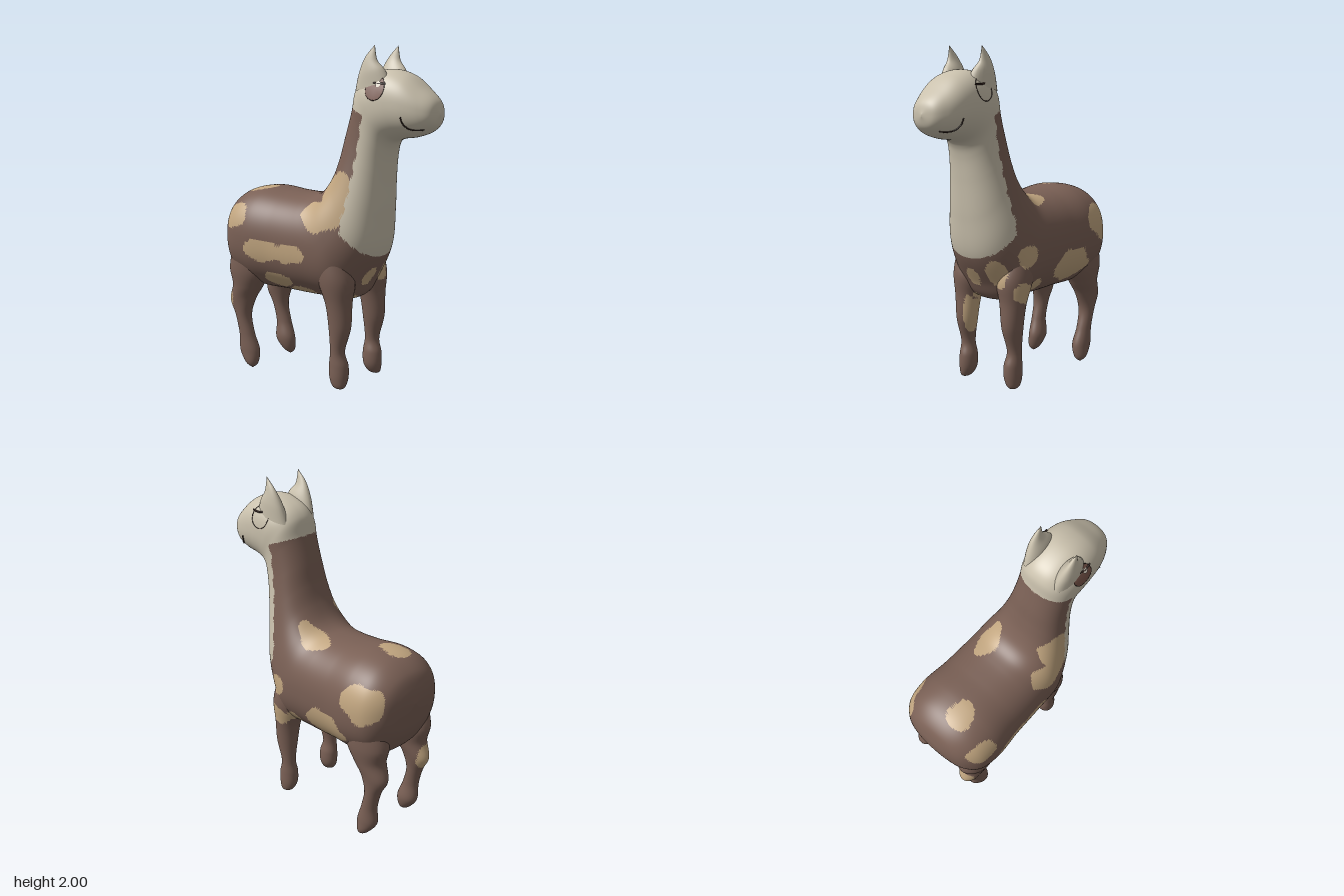
import * as THREE from 'three';

const mat = (name, color, side = THREE.FrontSide) => {
  const m = new THREE.MeshStandardMaterial({ color, side });
  m.name = name;
  return m;
};

// Rings are [topX, topY, bottomX, bottomY, halfWidth, centreZ]; smooth skin through them
function loft(rings, steps, segs, power) {
  const a = new THREE.CatmullRomCurve3(rings.map(r => new THREE.Vector3(r[0], r[1], r[4])));
  const b = new THREE.CatmullRomCurve3(rings.map(r => new THREE.Vector3(r[2], r[3], r[5] || 0)));
  const pos = [], index = [];
  const sq = v => Math.sign(v) * Math.pow(Math.abs(v), 2 / power);
  for (let i = 0; i <= steps; i++) {
    const p = a.getPoint(i / steps), q = b.getPoint(i / steps);
    const w = Math.max(p.z, 0);
    for (let j = 0; j < segs; j++) {
      const ang = (j / segs) * Math.PI * 2;
      const c = sq(Math.cos(ang)) / 2, s = sq(Math.sin(ang));
      pos.push((p.x + q.x) / 2 + (p.x - q.x) * c, (p.y + q.y) / 2 + (p.y - q.y) * c, q.z + w * s);
      if (i === steps) continue;
      const k = (j + 1) % segs, o = i * segs, n = o + segs;
      index.push(o + j, o + k, n + j, o + k, n + k, n + j);
    }
  }
  const g = new THREE.BufferGeometry();
  g.setAttribute('position', new THREE.Float32BufferAttribute(pos, 3));
  g.setIndex(index);
  g.computeVertexNormals();
  return g;
}

// Coat patches as ellipsoids: [x, y, z, rx, ry, rz]
const patches = [
  [-0.55, 0.98, 0.25, 0.09, 0.075, 0.12],
  [0.07, 1.03, 0.25, 0.15, 0.09, 0.16],
  [0.16, 1.15, 0.2, 0.11, 0.13, 0.16],
  [-0.33, 0.79, 0.3, 0.14, 0.07, 0.12],
  [-0.13, 0.79, 0.3, 0.11, 0.06, 0.12],
  [-0.25, 0.61, 0.25, 0.1, 0.05, 0.12],
  [-0.1, 0.55, 0.2, 0.1, 0.035, 0.1],
  [-0.66, 0.45, 0.2, 0.05, 0.09, 0.1],
  [-0.5, 1.14, 0.06, 0.09, 0.1, 0.075],
  [-0.56, 0.93, -0.27, 0.14, 0.11, 0.12],
  [-0.05, 1.12, -0.14, 0.12, 0.12, 0.07],
  [-0.28, 0.68, -0.29, 0.16, 0.11, 0.12],
  [0.14, 0.8, -0.28, 0.07, 0.065, 0.07],
  [0.15, 0.59, -0.25, 0.07, 0.07, 0.05],
  [0.02, 0.6, -0.26, 0.06, 0.05, 0.08],
  [0.25, 0.67, 0.03, 0.1, 0.055, 0.055],
  [0.25, 0.7, -0.14, 0.1, 0.085, 0.065],
  [0.16, 0.42, 0.13, 0.1, 0.13, 0.04],
  [0.13, 0.53, 0.07, 0.1, 0.03, 0.05],
];
const inPatch = (x, y, z) => patches.some(([cx, cy, cz, rx, ry, rz]) => {
  const d = ((x - cx) / rx) ** 2 + ((y - cy) / ry) ** 2 + ((z - cz) / rz) ** 2;
  return d < 1 + 0.15 * Math.sin(38 * x + 20 * y) + 0.1 * Math.sin(45 * y - 30 * z);
});

// Pale head and bib
const inBib = (x, y) => {
  if (y > 1.66 - 0.35 * Math.max(0, x - 0.18)) return true;
  const edge = y < 0.95 ? 0.2 : 0.2 + (y - 0.95) * 0.155;
  return x > edge + 0.006 * Math.sin(60 * y) && y > 0.79 + (0.34 - x) * 1.1;
};

// Sort triangles into coat, patch and pale groups
function paintCoat(g) {
  const p = g.attributes.position, idx = g.index.array, lists = [[], [], []];
  for (let i = 0; i < idx.length; i += 3) {
    const t = [idx[i], idx[i + 1], idx[i + 2]];
    const mean = f => (f(t[0]) + f(t[1]) + f(t[2])) / 3;
    const x = mean(k => p.getX(k)), y = mean(k => p.getY(k)), z = mean(k => p.getZ(k));
    lists[inBib(x, y) ? 2 : inPatch(x, y, z) ? 1 : 0].push(...t);
  }
  g.setIndex(lists.flat());
  let start = 0;
  lists.forEach((l, m) => { g.addGroup(start, l.length, m); start += l.length; });
  return g;
}

export function createModel() {
  const model = new THREE.Group();
  model.name = 'llama';
  const brown = mat('coat brown', 0x7a6055);
  const tan = mat('patch tan', 0xc2a680);
  const cream = mat('cream', 0xcac1ad);
  const iris = mat('eye brown', 0x765348, THREE.DoubleSide);
  const glint = mat('eye glint', 0xd8cfc0, THREE.DoubleSide);
  const ink = mat('dark line', 0x33241f);
  const coat = [brown, tan, cream];
  const add = (name, g, m) => {
    const mesh = new THREE.Mesh(g, m);
    mesh.name = name;
    model.add(mesh);
    return mesh;
  };

  // Rump, barrel, chest, neck and head in one skin
  const body = add('body', paintCoat(loft([
    [-0.715, 0.9, -0.715, 0.9, 0],
    [-0.7, 0.99, -0.7, 0.8, 0.13],
    [-0.66, 1.07, -0.67, 0.68, 0.225],
    [-0.57, 1.13, -0.6, 0.57, 0.295],
    [-0.45, 1.15, -0.46, 0.525, 0.315],
    [-0.28, 1.135, -0.28, 0.52, 0.302],
    [-0.14, 1.13, -0.05, 0.515, 0.297],
    [-0.06, 1.142, 0.18, 0.525, 0.292],
    [0.0, 1.18, 0.25, 0.63, 0.275],
    [0.06, 1.27, 0.34, 0.8, 0.235],
    [0.1, 1.38, 0.372, 1.02, 0.2],
    [0.13, 1.5, 0.388, 1.24, 0.175],
    [0.175, 1.66, 0.402, 1.37, 0.165],
    [0.2, 1.77, 0.418, 1.43, 0.167],
    [0.26, 1.83, 0.44, 1.462, 0.174],
    [0.4, 1.868, 0.49, 1.48, 0.175],
    [0.52, 1.84, 0.57, 1.492, 0.162],
    [0.62, 1.765, 0.65, 1.52, 0.128],
    [0.69, 1.7, 0.695, 1.56, 0.08],
    [0.715, 1.63, 0.715, 1.62, 0],
  ], 240, 120, 2.3)), coat);

  // Legs: front edge, back edge, half width, centre z
  const frontLeg = [
    [0.2, 0.8, 0.0, 0.8, 0.08, 0.19],
    [0.245, 0.65, 0.02, 0.65, 0.105, 0.17],
    [0.235, 0.52, 0.075, 0.51, 0.08, 0.175],
    [0.232, 0.37, 0.095, 0.37, 0.062, 0.178],
    [0.195, 0.22, 0.105, 0.22, 0.043, 0.182],
    [0.215, 0.14, 0.095, 0.14, 0.052, 0.176],
    [0.215, 0.06, 0.1, 0.06, 0.05, 0.178],
    [0.2, 0.01, 0.125, 0.015, 0.03, 0.187],
    [0.165, 0.0, 0.165, 0.0, 0, 0.19],
  ];
  const hindLeg = [
    [-0.4, 0.8, -0.62, 0.8, 0.09, 0.19],
    [-0.38, 0.64, -0.665, 0.64, 0.1, 0.18],
    [-0.44, 0.53, -0.645, 0.54, 0.085, 0.178],
    [-0.49, 0.45, -0.672, 0.43, 0.065, 0.18],
    [-0.525, 0.34, -0.63, 0.34, 0.05, 0.184],
    [-0.5, 0.22, -0.602, 0.22, 0.044, 0.184],
    [-0.465, 0.11, -0.6, 0.11, 0.052, 0.178],
    [-0.475, 0.03, -0.55, 0.04, 0.036, 0.187],
    [-0.505, 0.005, -0.505, 0.005, 0, 0.19],
  ];
  // Ears: back edge, front edge, half width, centre z
  const ear = [
    [0.22, 1.74, 0.45, 1.79, 0.055, 0.1],
    [0.25, 1.84, 0.415, 1.865, 0.044, 0.11],
    [0.295, 1.93, 0.375, 1.915, 0.022, 0.12],
    [0.36, 2.0, 0.36, 2.0, 0, 0.122],
  ];
  for (const [s, side] of [[1, 'Left'], [-1, 'Right']]) {
    const flip = rings => rings.map(r => [...r.slice(0, 5), r[5] * s]);
    add('frontLeg' + side, paintCoat(loft(flip(frontLeg), 80, 36, 2)), coat);
    add('hindLeg' + side, paintCoat(loft(flip(hindLeg), 80, 36, 2)), coat);
    add('ear' + side, loft(flip(ear), 24, 24, 2), cream);
  }

  // Face details laid on the head surface
  body.updateMatrixWorld();
  const ray = new THREE.Raycaster();
  const onHead = (x, y, s, lift) => {
    ray.set(new THREE.Vector3(x, y, s), new THREE.Vector3(0, 0, -s));
    const hit = ray.intersectObject(body)[0];
    return new THREE.Vector3(x, y, (hit ? hit.point.z : 0.1 * s) + lift * s);
  };
  const disc = (name, x, y, r, s, lift, m) => {
    const g = new THREE.CircleGeometry(r, 28);
    const p = g.attributes.position;
    for (let i = 0; i < p.count; i++) {
      const v = onHead(x + p.getX(i), y + p.getY(i), s, lift);
      p.setXYZ(i, v.x, v.y, v.z);
    }
    g.computeVertexNormals();
    add(name, g, m);
  };
  const line = (name, pts, s, r) => {
    const path = new THREE.CatmullRomCurve3(pts.map(([x, y]) => new THREE.Vector3(x, y, 0)));
    const laid = path.getPoints(12).map(v => onHead(v.x, v.y, s, 0.003));
    add(name, new THREE.TubeGeometry(new THREE.CatmullRomCurve3(laid), 24, r, 5), ink);
  };
  disc('iris', 0.385, 1.762, 0.064, 1, 0.004, iris);
  disc('glint', 0.407, 1.786, 0.016, 1, 0.008, glint);
  for (const s of [1, -1]) {
    line('eyelid', [[0.31, 1.795], [0.35, 1.797], [0.4, 1.788], [0.452, 1.79]], s, 0.006);
    line('eyeOutline', Array.from({ length: 13 }, (_, i) => {
      const a = i / 12 * Math.PI * 2;
      return [0.385 + 0.064 * Math.cos(a), 1.762 + 0.066 * Math.sin(a)];
    }), s, 0.002);
    line('lash', [[0.335, 1.795], [0.322, 1.805], [0.312, 1.82]], s, 0.003);
    line('smile', [[0.553, 1.61], [0.56, 1.575], [0.585, 1.545], [0.62, 1.537], [0.655, 1.54]], s, 0.004);
  }
  return model;
}
